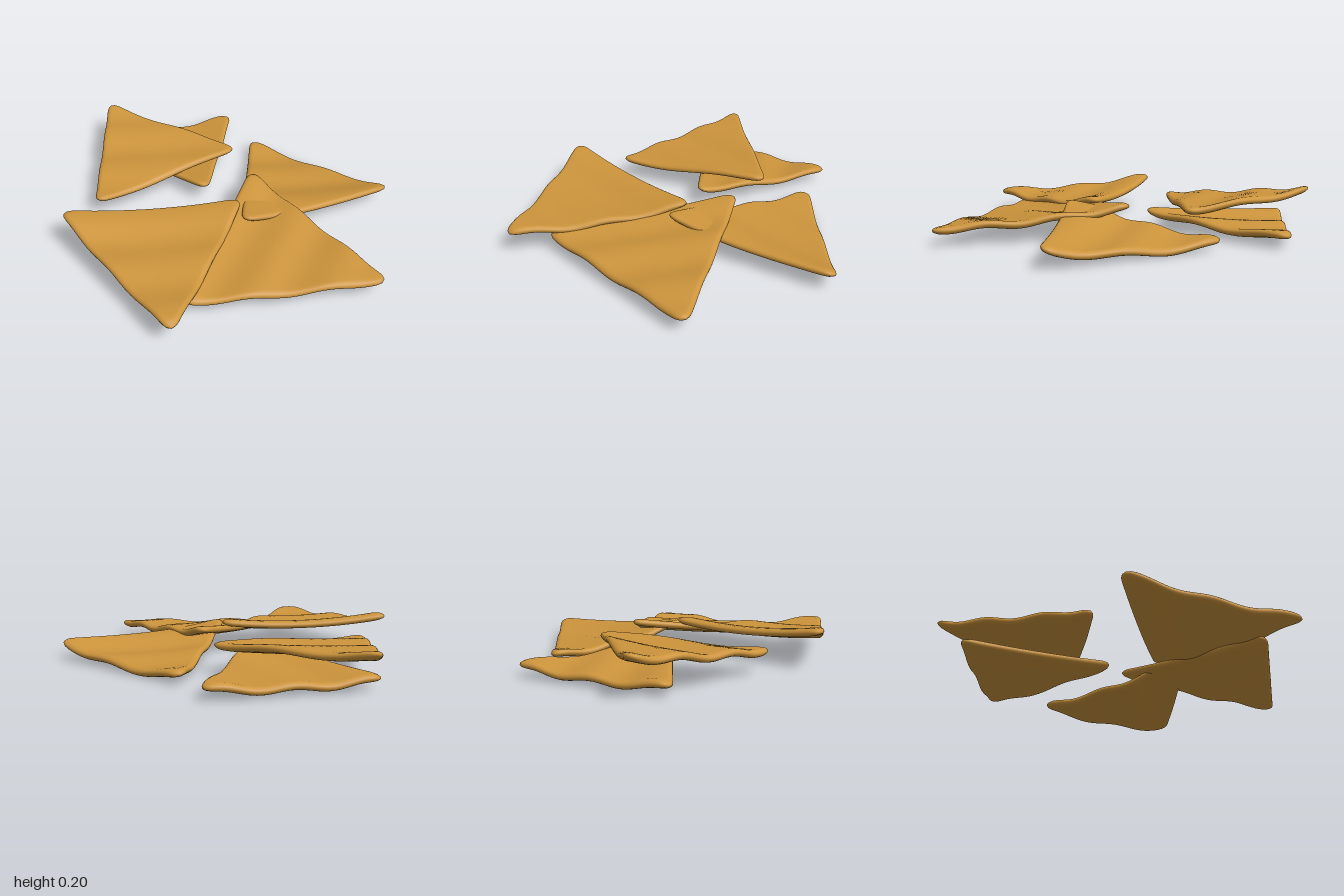
import * as THREE from 'three';

const HALF = 0.019;   // half thickness
const RIM = 0.026;    // width of the rounded rim
const CUT = 0.085;    // corner rounding
const SEGMENTS = 120;

// Triangle outline with rounded corners, evenly sampled
function roundedOutline(c) {
  const shape = new THREE.Shape();
  c.forEach((p, i) => {
    const toPrev = c[(i + 2) % 3].clone().sub(p).setLength(CUT).add(p);
    const toNext = c[(i + 1) % 3].clone().sub(p).setLength(CUT).add(p);
    if (i === 0) shape.moveTo(toPrev.x, toPrev.y);
    else shape.lineTo(toPrev.x, toPrev.y);
    shape.quadraticCurveTo(p.x, p.y, toNext.x, toNext.y);
  });
  shape.closePath();
  return shape.getSpacedPoints(SEGMENTS).slice(0, SEGMENTS);
}

// Cross-section from top centre, round the rim, to bottom centre: [scale, height]
function crossSection(inradius) {
  const flat = 1 - RIM / inradius, half = [];
  for (let i = 0; i <= 10; i++) half.push([flat * i / 10, HALF]);
  for (let i = 1; i <= 4; i++) {
    const a = i * Math.PI / 8;
    half.push([flat + (1 - flat) * Math.sin(a), HALF * Math.cos(a)]);
  }
  return [...half, ...half.slice(0, -1).reverse().map(([s, h]) => [s, -h])];
}

// corners are [x, height, z]; ridges run across the direction [wx, wz]
function chipGeometry({ corners, wave: [wx, wz], crest, sag }) {
  let c = corners.map(([x, y, z]) => Object.assign(new THREE.Vector2(x, z), { h: y }));
  const cross = (a, b, p) => (b.x - a.x) * (p.y - a.y) - (b.y - a.y) * (p.x - a.x);
  if (cross(c[0], c[1], c[2]) > 0) c = c.reverse();
  const area = cross(c[0], c[1], c[2]);
  const side = [0, 1, 2].map(i => c[(i + 1) % 3].distanceTo(c[(i + 2) % 3]));
  const perimeter = side[0] + side[1] + side[2];
  const centre = new THREE.Vector2();
  c.forEach((p, i) => centre.addScaledVector(p, side[i] / perimeter));

  // Tilted plane, gentle bowl and ripples
  const len = Math.hypot(wx, wz);
  const surface = (x, z) => {
    const p = new THREE.Vector2(x, z);
    const plane = c.reduce((sum, q, i) =>
      sum + q.h * cross(c[(i + 1) % 3], c[(i + 2) % 3], p) / area, 0);
    const bowl = sag * Math.max(0, 1 - p.distanceToSquared(centre) / 0.25);
    const u = (x * wx + z * wz) / len;
    return plane - bowl + 0.009 * Math.cos((u - crest) * Math.PI * 2 / 0.31);
  };

  const outline = roundedOutline(c);
  const rings = crossSection(Math.abs(area) / perimeter);
  const position = [], index = [];
  rings.forEach(([s, h], r) => outline.forEach((p, j) => {
    const x = centre.x + (p.x - centre.x) * s, z = centre.y + (p.y - centre.y) * s;
    position.push(x, surface(x, z) + h, z);
    if (r === rings.length - 1) return;
    const k = (j + 1) % SEGMENTS, a = r * SEGMENTS, b = a + SEGMENTS;
    if (r < rings.length - 2) index.push(a + j, b + j, b + k);
    else index.push(a + j, b + j, a + k);
    if (r > 0 && r < rings.length - 2) index.push(a + j, b + k, a + k);
  }));
  const geometry = new THREE.BufferGeometry();
  geometry.setAttribute('position', new THREE.Float32BufferAttribute(position, 3));
  geometry.setIndex(index);
  geometry.computeVertexNormals();
  return geometry;
}

const CHIPS = {
  backChip: {
    corners: [[-0.27, 0.035, -0.67], [0.645, 0.08, -0.795], [0.295, 0.165, 0.06]],
    wave: [0.8, 0.58], crest: -0.23, sag: 0.04,
  },
  rightLowerChip: {
    corners: [[0.045, 0.155, -0.3], [1.04, 0.075, -0.17], [0.42, 0.07, 0.625]],
    wave: [0.95, -0.3], crest: 0.79, sag: 0.018,
  },
  frontChip: {
    corners: [[-0.4, 0.185, 0.665], [0.55, 0.115, 0.793], [0.187, 0.155, -0.085]],
    wave: [0.8, 0.6], crest: 0.165, sag: 0.038,
  },
  leftLowerChip: {
    corners: [[-0.535, 0.06, -0.79], [-0.06, 0.112, -0.07], [-0.92, 0.05, -0.025]],
    wave: [0.15, -1], crest: 0.29, sag: 0.03,
  },
  leftUpperChip: {
    corners: [[-1.03, 0.19, -0.205], [-0.161, 0.15, -0.44], [-0.403, 0.105, 0.435]],
    wave: [0.75, 0.65], crest: -0.6, sag: 0.018,
  },
};

export function createModel() {
  const group = new THREE.Group();
  group.name = 'cornChips';
  const corn = new THREE.MeshStandardMaterial({ color: 0xcc943c });
  corn.name = 'toastedCorn';
  for (const [name, spec] of Object.entries(CHIPS)) {
    const chip = new THREE.Mesh(chipGeometry(spec), corn);
    chip.name = name;
    group.add(chip);
  }
  return group;
}
